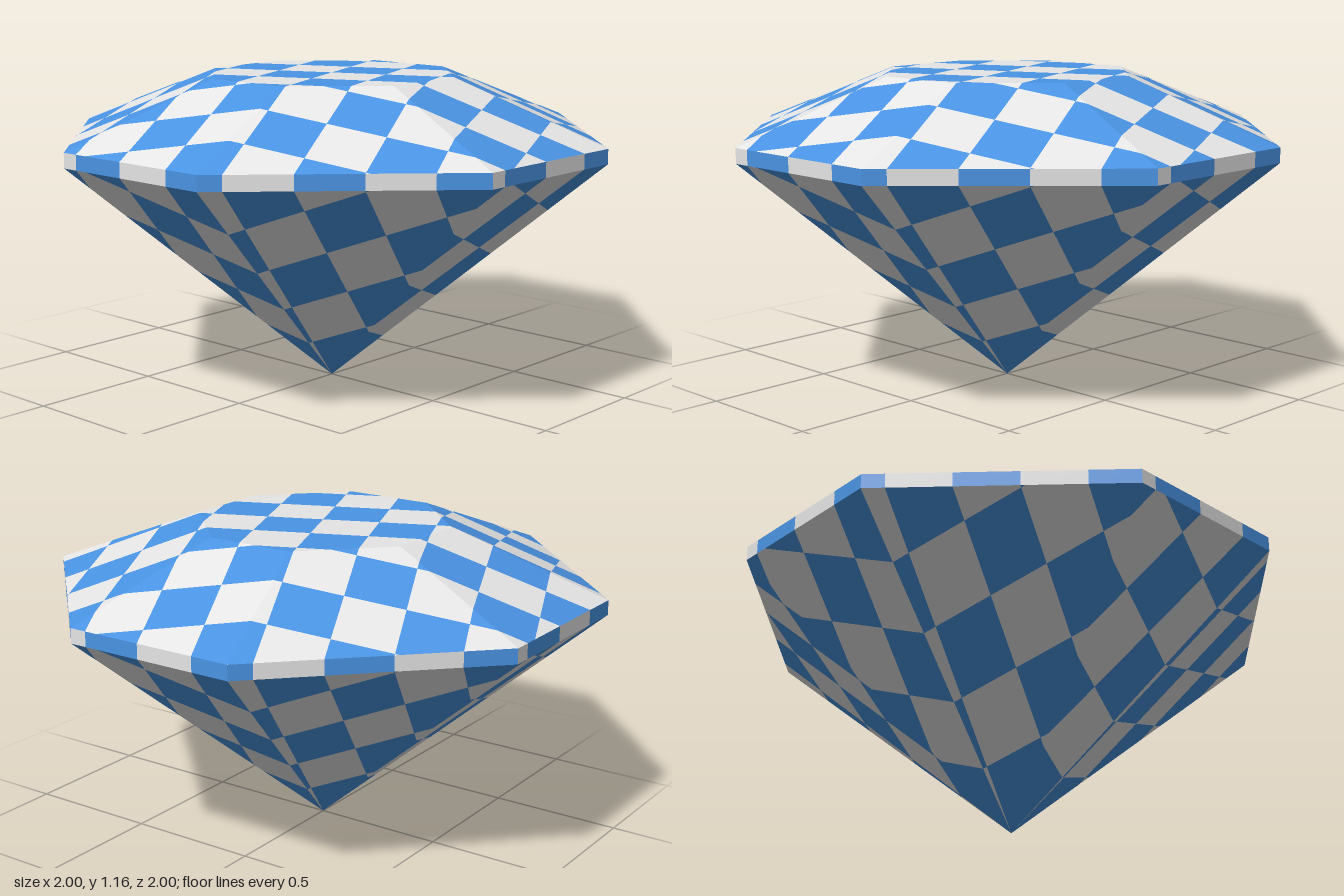
import * as THREE from 'three';

const SQUARE = 0.21, TILT = Math.PI / 8;
const C = Math.cos(TILT), S = Math.sin(TILT);

// Eight-cornered ring with long diagonals
function ring(a, b, y) {
  return [[b, a], [a, b], [a, -b], [b, -a], [-b, -a], [-a, -b], [-a, b], [-b, a]]
    .map(([x, z]) => new THREE.Vector3(x, y, z));
}

// Keep the side of a polygon where f >= 0
function clip(poly, f) {
  const out = [];
  poly.forEach((p, i) => {
    const q = poly[(i + 1) % poly.length], a = f(p), b = f(q);
    if (a >= 0) out.push(p);
    if ((a >= 0) !== (b >= 0)) out.push(p.clone().lerp(q, a / (a - b)));
  });
  return out;
}

// Cut flat facets along the tilted square grid; pieces with an odd rule(i, j) take the second colour
function checkered(name, facets, materials, rule) {
  const points = [[], []];
  const u = p => (p.x * C - p.z * S) / SQUARE;
  const w = p => (p.x * S + p.z * C) / SQUARE;
  const normal = new THREE.Vector3(), edge = new THREE.Vector3(), centre = new THREE.Vector3(0, 0.8, 0);
  for (const corners of facets) {
    // Make every facet face outward
    normal.subVectors(corners[1], corners[0]).cross(edge.subVectors(corners[2], corners[0]));
    const facet = normal.dot(edge.subVectors(corners[0], centre)) < 0 ? [...corners].reverse() : corners;
    for (let i = -6; i < 6; i++) {
      const column = clip(clip(facet, p => u(p) - i), p => i + 1 - u(p));
      if (column.length < 3) continue;
      for (let j = -6; j < 6; j++) {
        const piece = clip(clip(column, p => w(p) - j), p => j + 1 - w(p));
        for (let k = 2; k < piece.length; k++) {
          const list = points[Math.abs(rule(i, j)) % 2];
          for (const p of [piece[0], piece[k - 1], piece[k]]) list.push(p.x, p.y, p.z);
        }
      }
    }
  }
  const geometry = new THREE.BufferGeometry();
  geometry.setAttribute('position', new THREE.Float32BufferAttribute(points.flat(), 3));
  geometry.computeVertexNormals();
  const split = points[0].length / 3;
  geometry.addGroup(0, split, 0);
  geometry.addGroup(split, points[1].length / 3, 1);
  const mesh = new THREE.Mesh(geometry, materials);
  mesh.name = name;
  return mesh;
}

export function createModel() {
  const blue = new THREE.MeshStandardMaterial({ color: 0x4a94e4 });
  blue.name = 'blue';
  const paleGrey = new THREE.MeshStandardMaterial({ color: 0xe6e6e6 });
  paleGrey.name = 'pale grey';
  const materials = [blue, paleGrey];

  const tableRing = ring(0.445, 0.17, 1.165);
  const upperRing = ring(1, 0.333, 0.945);
  const lowerRing = ring(1, 0.333, 0.89);
  const tip = new THREE.Vector3(0, 0, 0);
  const band = (a, b) => a.map((p, i) => [p, a[(i + 1) % 8], b[(i + 1) % 8], b[i]]);

  const gem = new THREE.Group();
  gem.name = 'cutGem';

  // Top: one continuous checker
  const even = (i, j) => i + j;
  gem.add(
    checkered('table', [tableRing], materials, even),
    checkered('crown', band(tableRing, upperRing), materials, even)
  );

  // Sides: a corner facet and a front facet, repeated each quarter turn
  const [cornerBand, frontBand] = band(upperRing, lowerRing).slice(6);
  const pavilion = lowerRing.map((p, i) => [p, lowerRing[(i + 1) % 8], tip]).slice(6);
  for (let q = 0; q < 4; q++) {
    const quarter = new THREE.Group();
    quarter.name = 'quarter';
    quarter.rotation.y = q * Math.PI / 2;
    quarter.add(
      checkered('girdleCorner', [cornerBand], materials, (i, j) => j + 1),
      checkered('girdleSide', [frontBand], materials, (i, j) => i + 1),
      checkered('pavilion', pavilion, materials, (i, j) => i + j + 1)
    );
    gem.add(quarter);
  }
  return gem;
}
